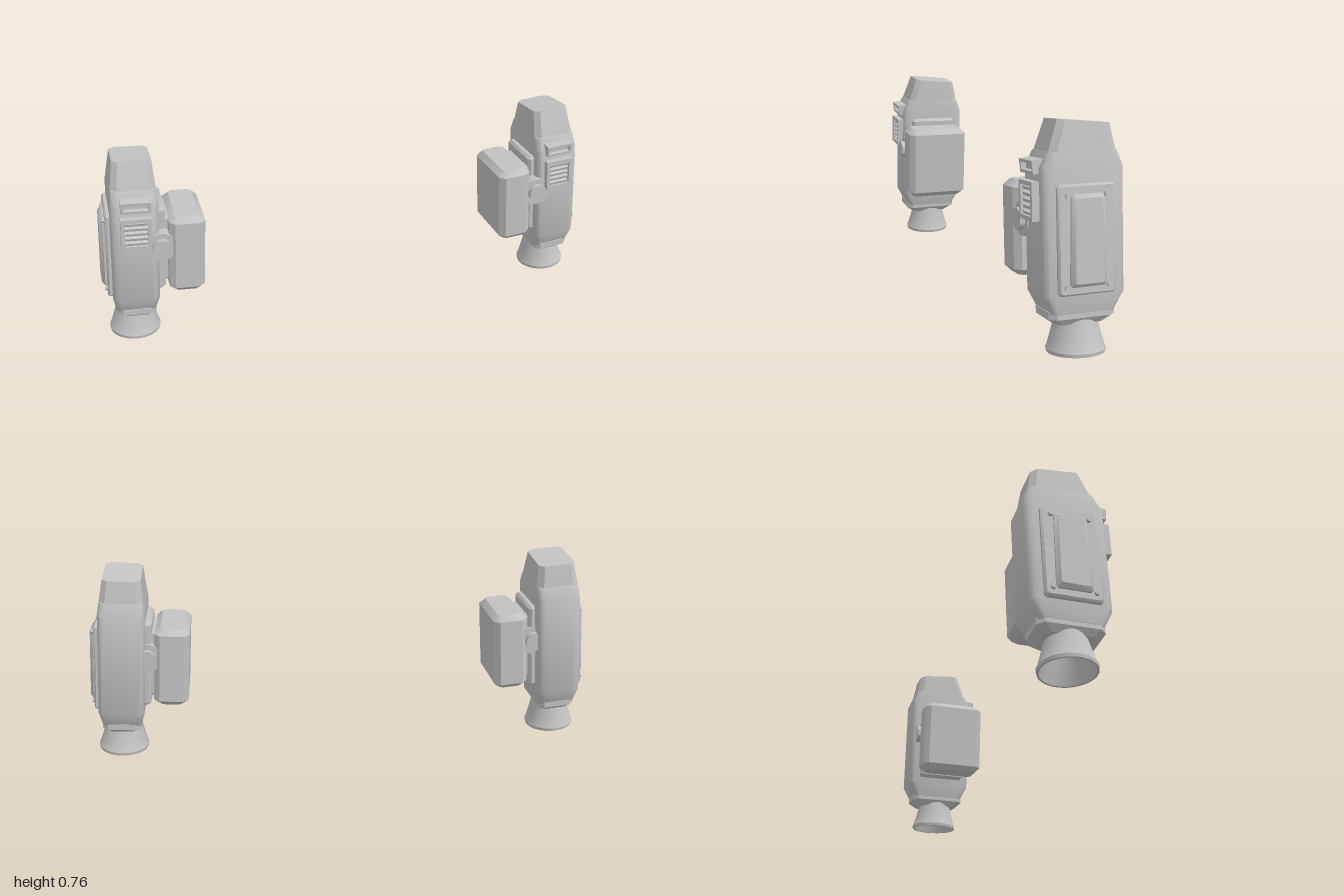
import * as THREE from 'three';
import { toCreasedNormals } from 'three/addons/utils/BufferGeometryUtils.js';

// Loft of rounded rectangles; each section is [y, x0, x1, z0, z1, corner, slope]
function loft(sections, seg = 2) {
  const pos = [], idx = [], n = 4 * (seg + 1);
  for (const [y, x0, x1, z0, z1, c, slope = 0] of sections) {
    const corners = [[x1 - c, z1 - c], [x0 + c, z1 - c], [x0 + c, z0 + c], [x1 - c, z0 + c]];
    corners.forEach(([cx, cz], k) => {
      for (let i = 0; i <= seg; i++) {
        const a = (k + i / seg) * Math.PI / 2;
        const z = cz + c * Math.sin(a);
        pos.push(cx + c * Math.cos(a), y + slope * z, z);
      }
    });
  }
  for (let s = 0; s < sections.length - 1; s++) {
    for (let j = 0; j < n; j++) {
      const p = s * n + j, p2 = s * n + (j + 1) % n;
      idx.push(p, p + n, p2, p2, p + n, p2 + n);
    }
  }
  const top = (sections.length - 1) * n;
  for (let j = 1; j < n - 1; j++) {
    idx.push(0, j, j + 1, top, top + j + 1, top + j);
  }
  const g = new THREE.BufferGeometry();
  g.setAttribute('position', new THREE.Float32BufferAttribute(pos, 3));
  g.setIndex(idx);
  return toCreasedNormals(g, 0.6);
}

// Box given by its limits, with bevelled edges
function block(x0, x1, y0, y1, z0, z1, b) {
  return loft([
    [y0, x0 + b, x1 - b, z0 + b, z1 - b, b * 0.6],
    [y0 + b, x0, x1, z0, z1, b],
    [y1 - b, x0, x1, z0, z1, b],
    [y1, x0 + b, x1 - b, z0 + b, z1 - b, b * 0.6]
  ], 1);
}

// Raised plate facing +x, with a bevelled outer edge
function plate(x0, x1, y0, y1, z0, z1, b) {
  return loft([
    [x0, -y1, -y0, z0, z1, 0.008],
    [x1 - b, -y1, -y0, z0, z1, 0.008],
    [x1, -y1 + b, -y0 - b, z0 + b, z1 - b, 0.006]
  ], 1).rotateZ(-Math.PI / 2);
}

// Rectangular frame with an opening, facing +z
function frame(w, h, border, depth) {
  const rect = (P, a, b) => new P([[-a, -b], [a, -b], [a, b], [-a, b]].map(([x, y]) => new THREE.Vector2(x, y)));
  const s = rect(THREE.Shape, w / 2, h / 2);
  s.holes.push(rect(THREE.Path, w / 2 - border, h / 2 - border));
  return new THREE.ExtrudeGeometry(s, { depth, bevelEnabled: false });
}

// Mirror across x and restore the corner order
function mirrored(geo) {
  const g = geo.index ? geo.toNonIndexed() : geo.clone();
  g.scale(-1, 1, 1);
  for (const name of ['position', 'normal']) {
    const a = g.attributes[name], v = new THREE.Vector3(), w = new THREE.Vector3();
    for (let i = 0; i < a.count; i += 3) {
      v.fromBufferAttribute(a, i + 1);
      w.fromBufferAttribute(a, i + 2);
      a.setXYZ(i + 1, w.x, w.y, w.z);
      a.setXYZ(i + 2, v.x, v.y, v.z);
    }
  }
  return g;
}

// All parts of one pod: nozzle mouth at the origin, outer side towards +x
function podParts() {
  const parts = [];
  const add = (name, geo) => parts.push([name, geo]);

  // Body with shoulders
  add('body', loft([
    [0.14, -0.076, 0.076, -0.12, 0.098, 0.022],
    [0.20, -0.088, 0.088, -0.153, 0.128, 0.03],
    [0.605, -0.088, 0.088, -0.153, 0.128, 0.03],
    [0.655, -0.082, 0.082, -0.132, 0.102, 0.024]
  ], 3));

  // Tapered cap with a sloping top
  add('cap', loft([
    [0.63, -0.084, 0.084, -0.134, 0.104, 0.022],
    [0.655, -0.082, 0.082, -0.131, 0.099, 0.022],
    [0.749, -0.071, 0.071, -0.116, 0.064, 0.02, 0.1]
  ], 1));

  // Collar and hollow nozzle
  add('collar', loft([
    [0.102, -0.058, 0.058, -0.095, 0.075, 0.02],
    [0.124, -0.075, 0.075, -0.125, 0.104, 0.022],
    [0.148, -0.075, 0.075, -0.125, 0.104, 0.022],
    [0.153, -0.07, 0.07, -0.12, 0.1, 0.022]
  ], 1));
  const profile = [[0, 0.1], [0.058, 0.1], [0.087, 0.008], [0.09, 0], [0.097, 0], [0.099, 0.012],
    [0.094, 0.022], [0.083, 0.06], [0.074, 0.095], [0.068, 0.125]];
  add('nozzle', toCreasedNormals(new THREE.LatheGeometry(
    profile.map(([x, y]) => new THREE.Vector2(x, y)), 28), 0.6).translate(0, 0, -0.011));

  // Outer panel: base, raised tapering centre and corner bolts
  add('outerPanel', plate(0.075, 0.105, 0.205, 0.555, -0.108, 0.087, 0.006));
  const centre = plate(0.1, 0.124, 0.233, 0.525, -0.071, 0.05, 0.012);
  const p = centre.attributes.position;
  for (let i = 0; i < p.count; i++) {
    p.setZ(i, -0.011 + (p.getZ(i) + 0.011) * (1 - 0.4 * (p.getY(i) - 0.3)));
  }
  add('outerPanelCentre', centre);
  for (const [y, z] of [[0.521, 0.056], [0.521, -0.076], [0.234, 0.062], [0.234, -0.082]]) {
    add('panelBolt', toCreasedNormals(new THREE.CylinderGeometry(0.009, 0.009, 0.016, 6), 0.4)
      .rotateZ(-Math.PI / 2).translate(0.107, y, z));
  }

  // Inner panel and bracket that carry the side tank
  add('innerPanel', block(-0.112, -0.07, 0.225, 0.572, -0.108, 0.092, 0.01));
  add('tankBracket', block(-0.14, -0.1, 0.26, 0.53, -0.085, 0.085, 0.008));
  add('sideTank', block(-0.257, -0.122, 0.23, 0.549, -0.124, 0.142, 0.022));

  // Hinge running front to back, with a wider knuckle
  const hinge = (r, z0, z1) => toCreasedNormals(new THREE.CylinderGeometry(r, r, z1 - z0, 24), 0.6)
    .rotateX(Math.PI / 2).translate(-0.094, 0.43, (z0 + z1) / 2);
  add('hingePin', hinge(0.037, -0.134, 0.15));
  add('hingeKnuckle', hinge(0.058, -0.115, 0.133));

  // Front grille with slats
  add('grilleFrame', frame(0.112, 0.124, 0.014, 0.034).translate(-0.002, 0.502, 0.119));
  for (let i = 0; i < 5; i++) {
    add('grilleSlat', new THREE.BoxGeometry(0.088, 0.011, 0.02).rotateX(0.35)
      .translate(-0.002, 0.462 + i * 0.02, 0.135));
  }

  // Upper front slot
  add('slotFrame', frame(0.108, 0.044, 0.01, 0.04).rotateX(0.12).translate(-0.002, 0.613, 0.109));
  add('slotBack', new THREE.BoxGeometry(0.095, 0.03, 0.022).translate(-0.002, 0.613, 0.12));
  return parts;
}

export function createModel() {
  const model = new THREE.Group();
  const lightGrey = new THREE.MeshStandardMaterial({ color: 0xc2c2c2 });
  lightGrey.name = 'lightGrey';
  const parts = podParts();

  // Two mirrored pods leaning towards each other
  for (const [side, sign] of [['left', 1], ['right', -1]]) {
    const pod = new THREE.Group();
    pod.name = side + 'Pod';
    for (const [name, geo] of parts) {
      const mesh = new THREE.Mesh(sign > 0 ? geo : mirrored(geo), lightGrey);
      mesh.name = name;
      pod.add(mesh);
    }
    pod.position.set(sign * 0.897, 0.008, 0);
    pod.rotation.z = sign * 0.08;
    model.add(pod);
  }
  return model;
}
